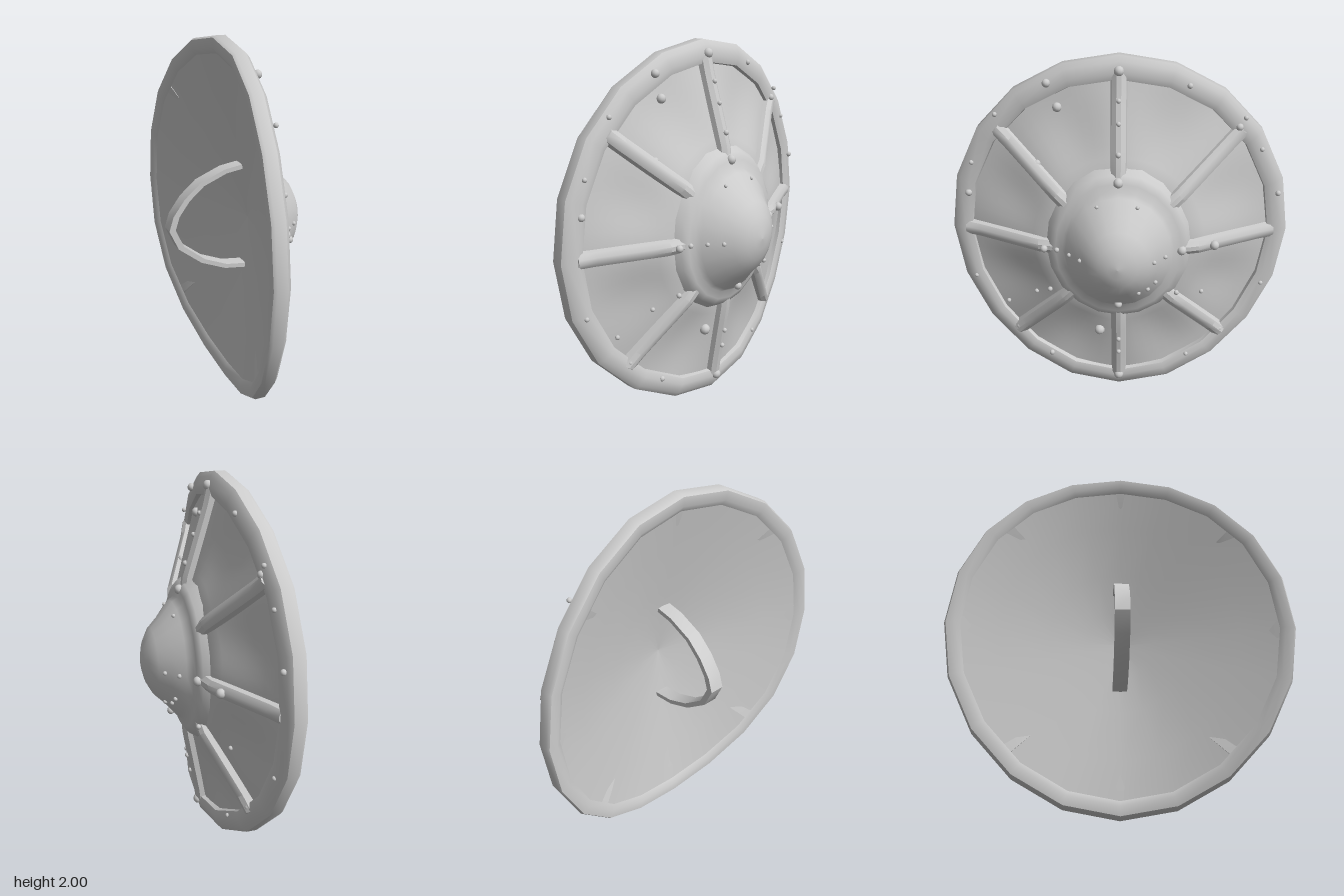
import * as THREE from 'three';
import { toCreasedNormals } from 'three/addons/utils/BufferGeometryUtils.js';

const lerp = THREE.MathUtils.lerp;
const material = new THREE.MeshStandardMaterial({ color: 0xcccccc, side: THREE.DoubleSide });
const SQUASH = 0.94;      // the shield is slightly narrower than tall
const BOSS_SQUASH = 0.87;

// The shield faces +x; t is the angle around its axis (0 = +z, 90 degrees = top)
const rimBack = (t) => {
  const s = Math.sin(t);
  return -0.19 + (s > 0 ? 0.08 : 0.14) * Math.abs(s) ** 3;
};
const inward = (r) => THREE.MathUtils.clamp((0.9 - r) / 0.48, 0, 1);
const crestX = (r, t) => lerp(rimBack(t) + 0.115, 0.15, inward(r));
const panelX = (r, t) => {
  const k = inward(r);
  const sag = 0.025 * Math.sin(4 * t) ** 2 * Math.sin(Math.PI * k);
  return lerp(rimBack(t) + 0.07, 0.105, k) - sag;
};
const bossProfile = [[0.47, 0.07], [0.43, 0.135], [0.39, 0.16], [0.345, 0.165], [0.325, 0.195],
  [0.25, 0.255], [0.19, 0.315], [0.12, 0.352], [0.06, 0.368], [0, 0.375]];
const bossX = (r) => {
  for (let i = 1; i < bossProfile.length; i++) {
    const [r0, x0] = bossProfile[i - 1], [r1, x1] = bossProfile[i];
    if (r >= r1) return lerp(x0, x1, (r0 - r) / (r0 - r1));
  }
  return 0.375;
};

// Surface around the x axis: rings of [radius, depth or depth(t)]
function loft(rings, segments, squash) {
  const positions = [], index = [];
  rings.forEach(([r, x], i) => {
    for (let j = 0; j < segments; j++) {
      const t = (j / segments) * Math.PI * 2;
      positions.push(typeof x === 'number' ? x : x(t), 1 + r * Math.sin(t), r * squash * Math.cos(t));
      if (i === 0) continue;
      const a = (i - 1) * segments + j, b = (i - 1) * segments + (j + 1) % segments;
      const c = a + segments, d = b + segments;
      index.push(a, c, b, b, c, d);
    }
  });
  const geometry = new THREE.BufferGeometry();
  geometry.setAttribute('position', new THREE.Float32BufferAttribute(positions, 3));
  geometry.setIndex(index);
  geometry.computeVertexNormals();
  return geometry;
}

// Raised rib from the boss to the rim, following the dished face
function ribGeometry(t) {
  const geometry = new THREE.BoxGeometry(1, 1, 1, 1, 6, 3);
  const p = geometry.attributes.position;
  for (let i = 0; i < p.count; i++) {
    const r = lerp(0.37, 0.92, p.getY(i) + 0.5);
    const front = p.getX(i) > 0;
    const edge = Math.abs(p.getZ(i)) > 0.4;
    const side = p.getZ(i) * (front ? 0.075 : 0.1);
    const x = crestX(r, t) - (front ? (edge ? 0.018 : 0) : 0.09);
    p.setXYZ(i, x,
      1 + r * Math.sin(t) + side * Math.cos(t),
      r * SQUASH * Math.cos(t) - side * Math.sin(t));
  }
  geometry.computeVertexNormals();
  return toCreasedNormals(geometry, 0.6);
}

export function createModel() {
  const shield = new THREE.Group();
  shield.name = 'roundShield';
  const add = (name, geometry, parent = shield) => {
    const mesh = new THREE.Mesh(geometry, material);
    mesh.name = name;
    parent.add(mesh);
    return mesh;
  };
  const offset = (d) => (t) => rimBack(t) + d;

  // Faceted rim with a rounded front lip
  const rim = loft([[0.91, offset(0.02)], [0.94, offset(0)], [0.99, offset(0)], [1, offset(0.015)],
    [1, offset(0.07)], [0.975, offset(0.092)], [0.92, offset(0.108)], [0.885, offset(0.1)],
    [0.875, offset(0.06)]], 20, SQUASH);
  add('rim', toCreasedNormals(rim, 0.75));

  // Dished front face, sunk between the ribs
  const face = [];
  for (let i = 0; i <= 8; i++) {
    const r = lerp(0.9, 0.36, i / 8);
    face.push([r, (t) => panelX(r, t)]);
  }
  add('frontPanels', loft(face, 80, SQUASH));

  // Hollow back
  const back = [0, 0.2, 0.42, 0.7, 0.93].map((r) =>
    [r, (t) => lerp(0.09, rimBack(t) + 0.025, (r / 0.93) ** 1.2)]);
  add('backShell', loft(back, 20, SQUASH));

  // Central boss and its collar
  add('boss', loft(bossProfile, 20, BOSS_SQUASH));

  // Eight ribs; the upper diagonals lie a little flatter
  const ribs = new THREE.Group();
  ribs.name = 'ribs';
  shield.add(ribs);
  for (const degrees of [0, 41, 90, 139, 180, 226, 270, 314]) {
    add('rib', ribGeometry(THREE.MathUtils.degToRad(degrees)), ribs);
  }

  // Rivets as [z, y, radius], seated on whichever surface lies beneath
  const rivets = new THREE.Group();
  rivets.name = 'rivets';
  shield.add(rivets);
  const ball = new THREE.SphereGeometry(1, 10, 8);
  const seat = (z, y, radius, surface) => {
    const t = Math.atan2(y - 1, z / SQUASH);
    const r = Math.hypot(y - 1, z / SQUASH);
    const x = surface === 'boss' ? bossX(Math.hypot(y - 1, z / BOSS_SQUASH))
      : surface === 'rib' ? crestX(r, t)
        : surface === 'panel' ? panelX(r, t) : rimBack(t) + 0.1;
    const rivet = add(surface + 'Rivet', ball, rivets);
    rivet.position.set(x + radius * 0.2, y, z);
    rivet.scale.setScalar(radius);
  };
  const layout = {
    rim: [[0, 1.93, 0.026], [0.37, 1.86, 0.022], [-0.36, 1.85, 0.015], [0.65, 1.68, 0.013],
      [-0.66, 1.67, 0.013], [-0.76, 1.49, 0.013], [0.8, 1.4, 0.013], [0.83, 1.22, 0.02],
      [-0.87, 1.23, 0.016], [0.83, 0.69, 0.013], [-0.82, 0.66, 0.013], [0.65, 0.53, 0.013],
      [0.4, 0.21, 0.016], [-0.4, 0.21, 0.013], [0, 0.09, 0.028], [0.59, 0.37, 0.02],
      [-0.59, 0.37, 0.02], [0.82, 1, 0.022], [-0.82, 1, 0.022], [-0.63, 1.62, 0.02]],
    rib: [[0, 1.79, 0.013], [0, 1.68, 0.013], [0, 1.53, 0.015], [0, 1.39, 0.026],
      [0, 0.39, 0.014], [0, 0.29, 0.014], [0.4, 1, 0.02], [-0.34, 1, 0.026], [-0.52, 1, 0.026],
      [0.38, 0.73, 0.014], [-0.32, 0.73, 0.014]],
    panel: [[0.32, 1.73, 0.025], [0.43, 1.44, 0.02], [0.47, 0.65, 0.013], [-0.47, 0.66, 0.013],
      [0.78, 0.57, 0.014], [0.11, 0.42, 0.03]],
    boss: [[0.33, 1, 0.014], [0.26, 1, 0.012], [0.2, 1, 0.012], [-0.19, 1, 0.012],
      [-0.25, 1, 0.012], [-0.31, 1.27, 0.018], [0, 0.69, 0.022], [-0.11, 0.8, 0.012],
      [-0.16, 0.81, 0.012], [-0.2, 0.85, 0.012], [0.11, 1.28, 0.01], [-0.1, 1.28, 0.01]],
  };
  for (const [surface, list] of Object.entries(layout)) {
    for (const [z, y, radius] of list) seat(z, y, radius, surface);
  }

  // Bowed hand strap on the back
  const outer = [[0.06, 1.32], [-0.06, 1.3], [-0.2, 1.24], [-0.29, 1.16], [-0.355, 1.07], [-0.38, 0.99],
    [-0.33, 0.88], [-0.2, 0.78], [-0.06, 0.725], [0.08, 0.71]].map(([x, y]) => new THREE.Vector2(x, y));
  const pivot = new THREE.Vector2(0.06, 1.01);
  const inner = outer.map((p) => p.clone().sub(pivot).multiplyScalar(0.92).add(pivot)).reverse();
  const strap = new THREE.ExtrudeGeometry(new THREE.Shape([...outer, ...inner]), { depth: 0.08, bevelEnabled: false });
  strap.translate(0, 0, -0.04);
  add('handStrap', toCreasedNormals(strap, 0.7));

  return shield;
}
